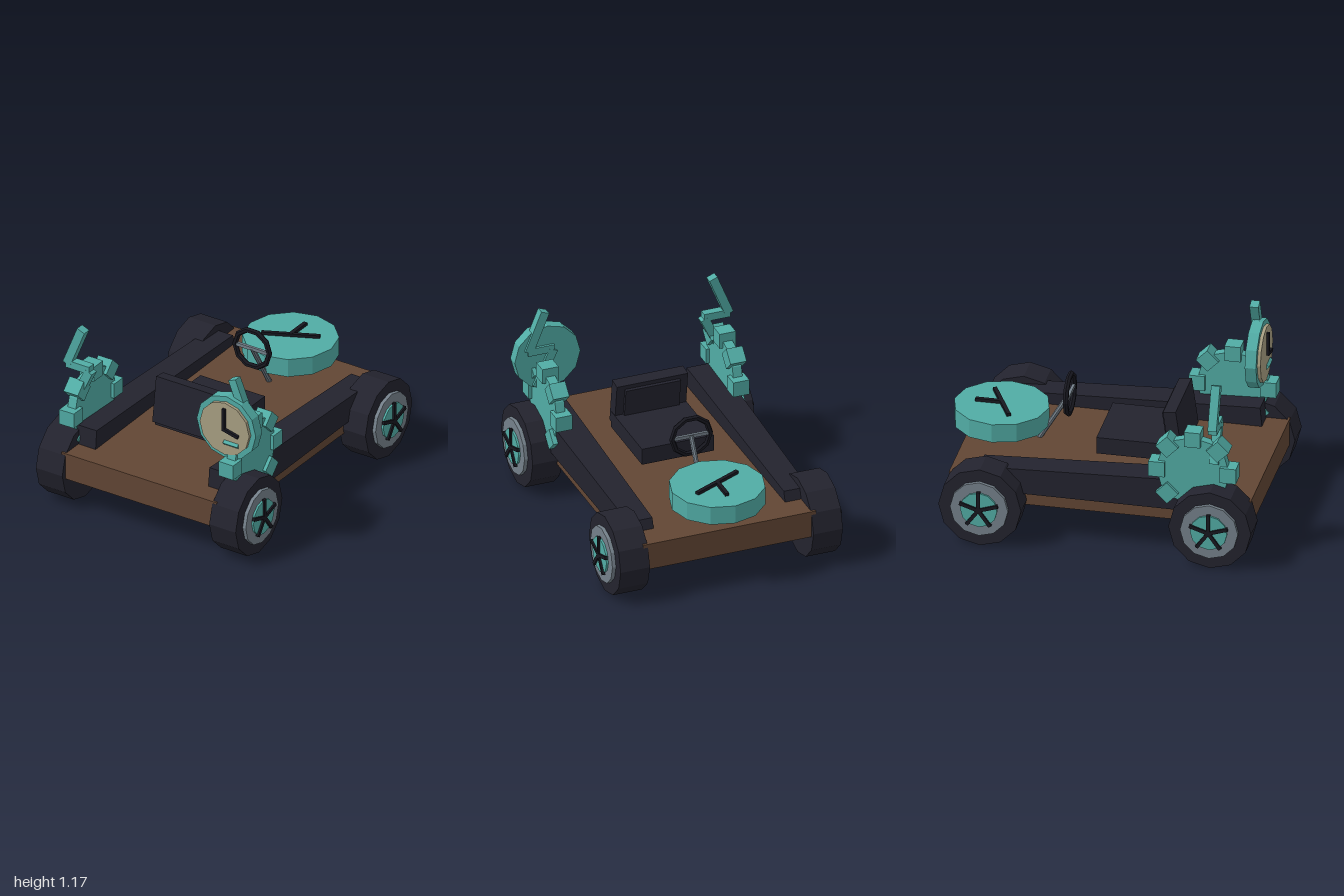
import * as THREE from 'three';

const mat = (name, color) => {
  const m = new THREE.MeshStandardMaterial({ color, flatShading: true });
  m.name = name;
  return m;
};

export function createModel() {
  const teal = mat('teal', 0x51aca5), brown = mat('brown', 0x624634), navy = mat('dark navy', 0x23232e);
  const black = mat('black', 0x17171f), grey = mat('grey', 0x74808a), tan = mat('tan', 0xa89f82);
  const root = new THREE.Group();
  root.name = 'clockCart';

  const add = (parent, name, geo, m, x = 0, y = 0, z = 0) => {
    const mesh = new THREE.Mesh(geo, m);
    mesh.name = name;
    mesh.position.set(x, y, z);
    parent.add(mesh);
    return mesh;
  };
  const box = (parent, name, m, w, h, d, x, y, z) => add(parent, name, new THREE.BoxGeometry(w, h, d), m, x, y, z);
  const group = (name, x = 0, y = 0, z = 0) => {
    const g = new THREE.Group();
    g.name = name;
    g.position.set(x, y, z);
    root.add(g);
    return g;
  };
  // Twelve-sided disc spanning a..b along the given axis
  const disc = (parent, name, m, r, a, b, axis = 'y') => {
    const geo = new THREE.CylinderGeometry(r, r, b - a, 12);
    geo.translate(0, (a + b) / 2, 0);
    if (axis === 'x') geo.rotateZ(-Math.PI / 2);
    if (axis === 'z') geo.rotateX(Math.PI / 2);
    return add(parent, name, geo, m);
  };
  // Flat bar between two points in the xy plane
  const bar = (parent, name, m, [x0, y0], [x1, y1], w, d, z) => {
    const b = box(parent, name, m, Math.hypot(x1 - x0, y1 - y0), w, d, (x0 + x1) / 2, (y0 + y1) / 2, z);
    b.rotation.z = Math.atan2(y1 - y0, x1 - x0);
    return b;
  };

  // Deck
  box(root, 'deck', brown, 1.13, 0.175, 1.875, 0, 0.3125, 0.0275);

  for (const s of [-1, 1]) {
    // Tapered side rail with sloping top
    const railGeo = new THREE.BoxGeometry(1, 1, 1);
    const p = railGeo.attributes.position;
    for (let i = 0; i < p.count; i++) {
      const out = p.getX(i) * s > 0, up = p.getY(i) > 0, front = p.getZ(i) > 0;
      const x = front ? (out ? 0.605 : 0.41) : (out ? 0.59 : 0.43);
      const y = up ? (front ? 0.525 : 0.465) : 0.31;
      const z = front ? (up ? 0.81 : 0.83) : (up ? -0.72 : -0.77);
      p.setXYZ(i, s * x, y, z);
    }
    railGeo.computeVertexNormals();
    add(root, 'sideRail', railGeo, navy);

    // Wheels
    for (const z of [0.743, -0.685]) {
      const wheel = group('wheel', 0, 0.258, z);
      const span = (name, m, r, a, b) => disc(wheel, name, m, r, Math.min(s * a, s * b), Math.max(s * a, s * b), 'x');
      span('tyre', navy, 0.257, 0.535, 0.727);
      span('rim', grey, 0.18, 0.7, 0.75);
      span('hubCap', teal, 0.115, 0.7, 0.763);
      for (let i = 0; i < 5; i++) {
        const geo = new THREE.BoxGeometry(0.018, 0.125, 0.022).translate(0, 0.0625, 0);
        add(wheel, 'spoke', geo, black, s * 0.766).rotation.x = (i * 2 * Math.PI) / 5;
      }
    }

    // Gear with eight square teeth
    const gear = group('gear', s * 0.58, 0.59, 0.613);
    disc(gear, 'gearBody', teal, 0.228, -0.03, 0.03, 'x');
    for (let i = 0; i < 8; i++) {
      const a = (i * Math.PI) / 4;
      box(gear, 'gearTooth', teal, 0.106, 0.1, 0.1, 0, Math.cos(a) * 0.222, Math.sin(a) * 0.222).rotation.x = a;
    }

    // Zigzag lever
    const lever = group('zigzagLever');
    bar(lever, 'leverTop', teal, [s * 0.55, 1.16], [s * 0.655, 0.9], 0.056, 0.055, 0.747);
    bar(lever, 'leverMiddle', teal, [s * 0.66, 0.9], [s * 0.49, 0.9], 0.05, 0.054, 0.747);
    bar(lever, 'leverBottom', teal, [s * 0.495, 0.89], [s * 0.605, 0.65], 0.056, 0.055, 0.747);
  }

  // Upright clock
  const clock = group('uprightClock', 0.53, 0.84, 0);
  disc(clock, 'clockCase', teal, 0.215, 0.735, 0.805, 'z');
  disc(clock, 'clockFace', tan, 0.18, 0.8, 0.825, 'z');
  bar(clock, 'longHand', black, [0, -0.01], [0, 0.142], 0.02, 0.02, 0.833);
  bar(clock, 'shortHand', black, [0, 0], [0.105, -0.025], 0.02, 0.02, 0.833);

  // Lying clock
  const table = group('lyingClock', 0, 0, -0.705);
  disc(table, 'lyingClockCase', teal, 0.295, 0.482, 0.602);
  box(table, 'lyingHand', black, 0.025, 0.022, 0.17, 0, 0.611, -0.078);
  box(table, 'lyingLongHand', black, 0.36, 0.02, 0.025, 0, 0.611, 0).rotation.y = 0.45;

  // Seat
  box(root, 'seatCushion', navy, 0.47, 0.108, 0.5, 0, 0.501, 0.183);
  box(root, 'seatBack', navy, 0.465, 0.3, 0.08, 0, 0.626, 0.406).rotation.x = -0.14;
  box(root, 'seatBackPad', navy, 0.36, 0.24, 0.022, 0, 0.621, 0.357).rotation.x = -0.14;

  // Steering wheel and column
  const steering = group('steering', 0, 0.713, -0.282);
  add(steering, 'steeringWheel', new THREE.TorusGeometry(0.125, 0.018, 6, 10), black);
  box(steering, 'steeringSpoke', grey, 0.24, 0.022, 0.018, 0, 0, 0);
  const dy = -0.32, dz = -0.19;
  const column = add(steering, 'steeringColumn', new THREE.CylinderGeometry(0.016, 0.016, Math.hypot(dy, dz), 8), grey, 0, dy / 2, dz / 2);
  column.rotation.x = Math.atan2(dz, dy);

  return root;
}
